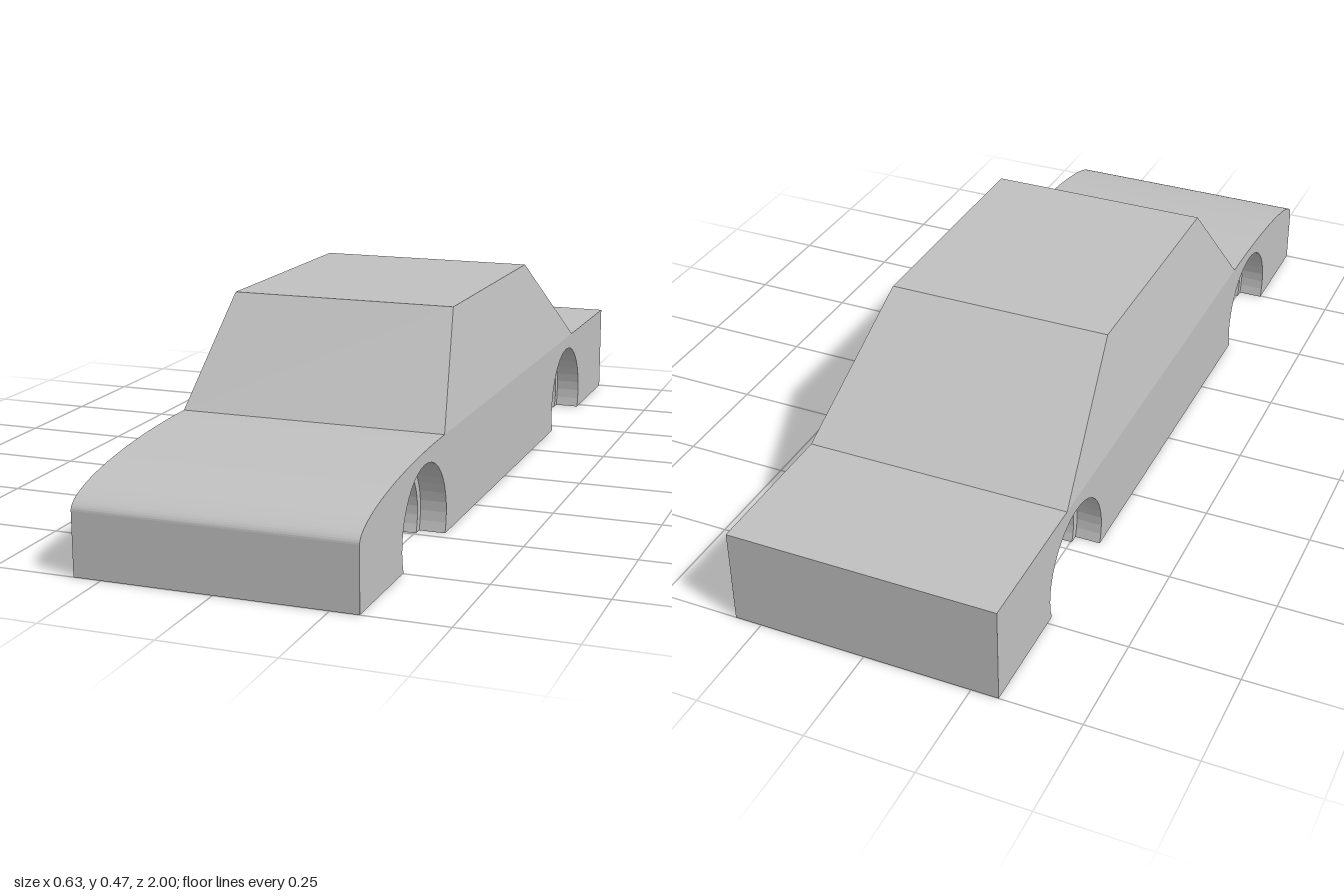
import * as THREE from 'three';

const HALF = 0.313;           // half width of the body
const DECK = 0.227;           // height of bonnet and boot
const NOSE = 0.142;           // height of the blunt front
const AXLES = [-0.59, 0.609]; // wheel arch centres along z
const AXLE_Y = 0.049;

// Side profile in (z, y), with round arch cut-outs of the given radius
function sideProfile(radius) {
  const pts = [new THREE.Vector2(-1, 0)];
  if (radius > 0) {
    const dip = Math.asin(AXLE_Y / radius);
    for (const c of AXLES) {
      for (let i = 0; i <= 24; i++) {
        const a = Math.PI + dip - (i / 24) * (Math.PI + 2 * dip);
        const y = AXLE_Y + radius * Math.sin(a);
        pts.push(new THREE.Vector2(c + radius * Math.cos(a), Math.max(0, y)));
      }
    }
  }
  pts.push(new THREE.Vector2(1, 0));
  // Bonnet: a quarter ellipse from the nose up to the windscreen
  for (let i = 0; i <= 32; i++) {
    const a = (i / 32) * Math.PI / 2;
    pts.push(new THREE.Vector2(0.48 + 0.52 * Math.cos(a), NOSE + (DECK - NOSE) * Math.sin(a)));
  }
  pts.push(new THREE.Vector2(-1, DECK));
  return new THREE.Shape(pts);
}

// Slice of the body between two x positions
function bodySlice(x0, x1, radius) {
  const geo = new THREE.ExtrudeGeometry(sideProfile(radius), { depth: x1 - x0, bevelEnabled: false });
  geo.rotateY(-Math.PI / 2);
  geo.translate(x1, 0, 0);
  return geo;
}

// Cabin: a box whose top is drawn in on every side
function cabinGeometry() {
  const geo = new THREE.BoxGeometry(2, 2, 2);
  const p = geo.attributes.position;
  for (let i = 0; i < p.count; i++) {
    const top = p.getY(i) > 0;
    const front = p.getZ(i) > 0;
    const z = top ? (front ? 0.285 : -0.312) : (front ? 0.48 : -0.645);
    p.setXYZ(i, Math.sign(p.getX(i)) * (top ? 0.268 : HALF), top ? 0.47 : DECK, z);
  }
  geo.computeVertexNormals();
  return geo;
}

export function createModel() {
  const model = new THREE.Group();
  model.name = 'car';
  const paint = new THREE.MeshStandardMaterial({ color: 0xc0c0c0 });
  paint.name = 'bodyGrey';

  const add = (name, geo) => {
    const mesh = new THREE.Mesh(geo, paint);
    mesh.name = name;
    model.add(mesh);
  };

  // Solid middle, then the stepped wheel wells on both sides
  const step = HALF - 0.06;
  const floor = HALF - 0.11;
  add('bodyCore', bodySlice(-floor, floor, 0));
  add('leftInnerWells', bodySlice(floor, step, 0.126));
  add('rightInnerWells', bodySlice(-step, -floor, 0.126));
  add('leftFlank', bodySlice(step, HALF, 0.146));
  add('rightFlank', bodySlice(-HALF, -step, 0.146));
  add('cabin', cabinGeometry());
  return model;
}
